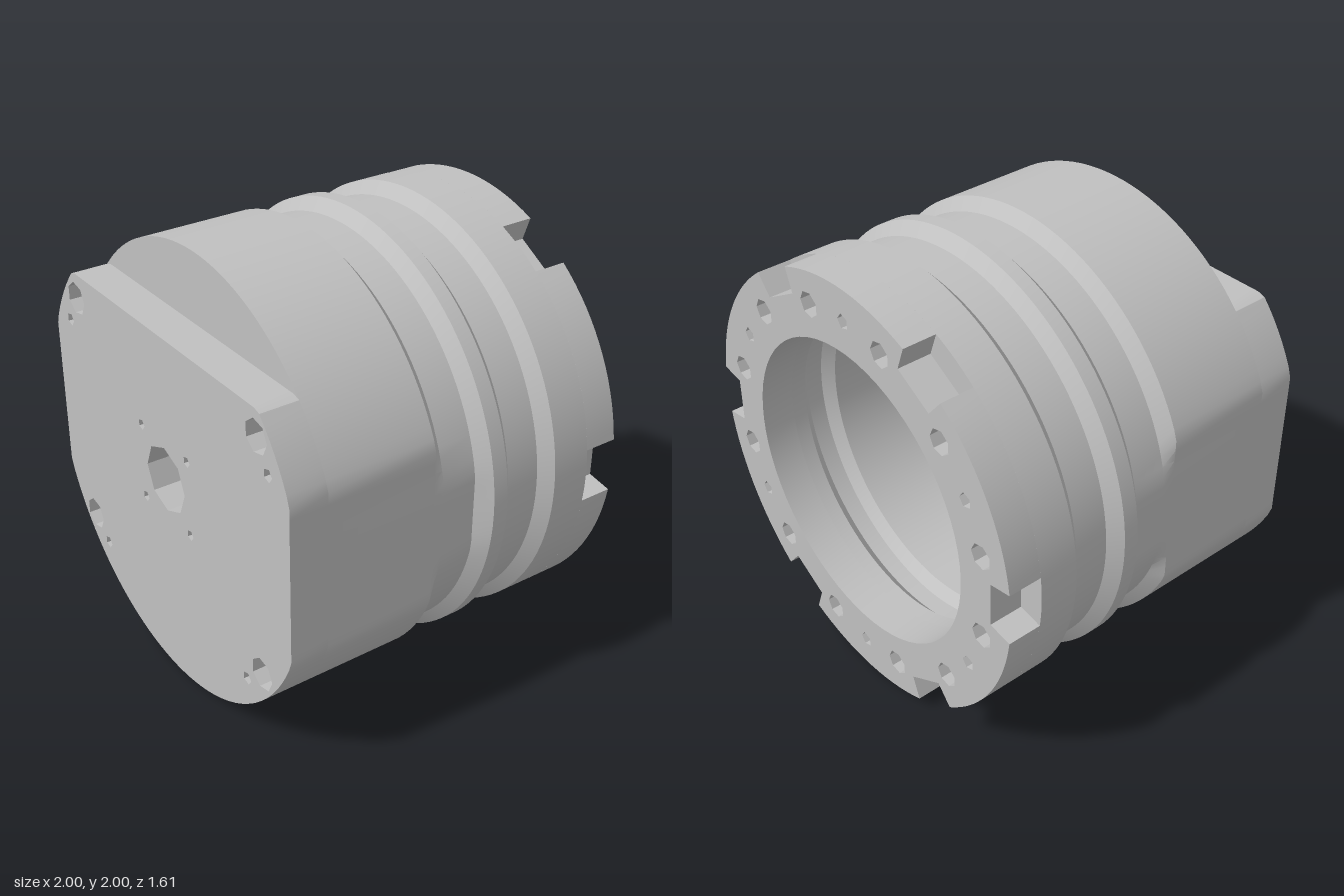
import * as THREE from 'three';
import { toCreasedNormals } from 'three/addons/utils/BufferGeometryUtils.js';

const FLAT = 0.93; // half width across the two side flats
const STEP = 0.68; // height of the front step above the axis
const BACK = -0.805, FRONT = 0.805;

const V = (x, y) => new THREE.Vector2(x, y);
const clampX = (x) => THREE.MathUtils.clamp(x, -FLAT, FLAT);

// Faceted round hole
function addHole(shape, x, y, r, sides) {
  const pts = [];
  for (let i = 0; i < sides; i++) {
    const a = (i / sides) * Math.PI * 2;
    pts.push(V(x + r * Math.cos(a), y + r * Math.sin(a)));
  }
  shape.holes.push(new THREE.Path(pts));
}

function extrude(shape, z0, z1) {
  const g = new THREE.ExtrudeGeometry(shape, { depth: z1 - z0, bevelEnabled: false, curveSegments: 32 });
  g.translate(0, 0, z0);
  return toCreasedNormals(g, 0.4);
}

// Closed profile (radius, z) turned around the z axis
function turned(profile, segments) {
  const g = new THREE.LatheGeometry(profile.map(([r, z]) => V(r, z)), segments);
  g.rotateX(Math.PI / 2);
  return g;
}

export function createModel() {
  const model = new THREE.Group();
  const metal = new THREE.MeshStandardMaterial({ color: 0xc0c0c0 });
  metal.name = 'grey metal';
  const axis = new THREE.Group(); // everything sits around the raised z axis
  axis.name = 'housing';
  axis.position.y = 1;
  model.add(axis);
  const add = (name, geometry) => {
    const m = new THREE.Mesh(geometry, metal);
    m.name = name;
    axis.add(m);
    return m;
  };

  // Grooved shell with bore and floor, flats cut on both sides
  const shell = turned([
    [0.7, -0.65], [1, -0.65], [1, -0.47], [0.945, -0.42], [0.945, -0.26], [1, -0.21],
    [1, -0.14], [0.945, -0.09], [0.945, 0.07], [1, 0.12], [1, 0.63],
    [0.105, 0.63], [0.105, 0.53], [0.72, 0.53], [0.72, -0.4], [0.76, -0.45],
    [0.76, -0.53], [0.7, -0.58], [0.7, -0.65],
  ], 120);
  const p = shell.attributes.position;
  for (let i = 0; i < p.count; i++) {
    if (p.getZ(i) > -0.1) p.setX(i, clampX(p.getX(i)));
  }
  add('shell', toCreasedNormals(shell, 0.4));

  // Front plate, cut by the flats and the step, with screw holes
  const outline = [];
  for (let i = 0; i < 120; i++) {
    const a = (i / 120) * Math.PI * 2;
    outline.push(V(clampX(Math.cos(a)), Math.min(Math.sin(a), STEP)));
  }
  const plate = new THREE.Shape(outline);
  addHole(plate, 0, 0, 0.155, 8);
  for (const sx of [-1, 1]) {
    for (const sy of [-1, 1]) {
      addHole(plate, sx * 0.715, sy * 0.56, 0.075, 7);
      addHole(plate, sx * 0.185, sy * 0.18, 0.025, 5);
    }
    addHole(plate, sx * 0.79, 0.43, 0.03, 5);
    addHole(plate, sx * 0.6, -0.66, 0.03, 5);
  }
  add('frontPlate', extrude(plate, 0.63, FRONT));

  // Back ring with six rim notches and a circle of screw holes
  const rim = [];
  const half = Math.asin(0.125);
  for (let k = 0; k < 6; k++) {
    const a = (k * Math.PI) / 3;
    for (const side of [-1, 1]) {
      const t = side * 0.105;
      rim.push(V(0.88 * Math.cos(a) - t * Math.sin(a), 0.88 * Math.sin(a) + t * Math.cos(a)));
    }
    for (let i = 0; i <= 15; i++) {
      const b = a + half + (i / 15) * (Math.PI / 3 - 2 * half);
      rim.push(V(Math.cos(b), Math.sin(b)));
    }
  }
  const ring = new THREE.Shape(rim);
  const bore = new THREE.Path();
  bore.absarc(0, 0, 0.7, 0, Math.PI * 2, true);
  ring.holes.push(bore);
  for (let k = 0; k < 6; k++) {
    for (const [offset, r, sides] of [[-16, 0.058, 7], [0, 0.035, 5], [16, 0.058, 7]]) {
      const a = THREE.MathUtils.degToRad(30 + k * 60 + offset);
      addHole(ring, 0.85 * Math.cos(a), 0.85 * Math.sin(a), r, sides);
    }
  }
  add('backRing', extrude(ring, BACK, -0.65));

  // Hollow boss and four pins inside the bore
  const boss = turned([[0.105, -0.3], [0.14, -0.3], [0.14, 0.53], [0.105, 0.53], [0.105, -0.3]], 8);
  add('centreBoss', toCreasedNormals(boss, 0.4));
  for (const sx of [-1, 1]) {
    for (const sy of [-1, 1]) {
      const pin = new THREE.CylinderGeometry(0.03, 0.03, 0.63, 6);
      pin.rotateX(Math.PI / 2);
      add('pin', toCreasedNormals(pin, 0.4)).position.set(sx * 0.185, sy * 0.18, 0.215);
    }
  }
  return model;
}
